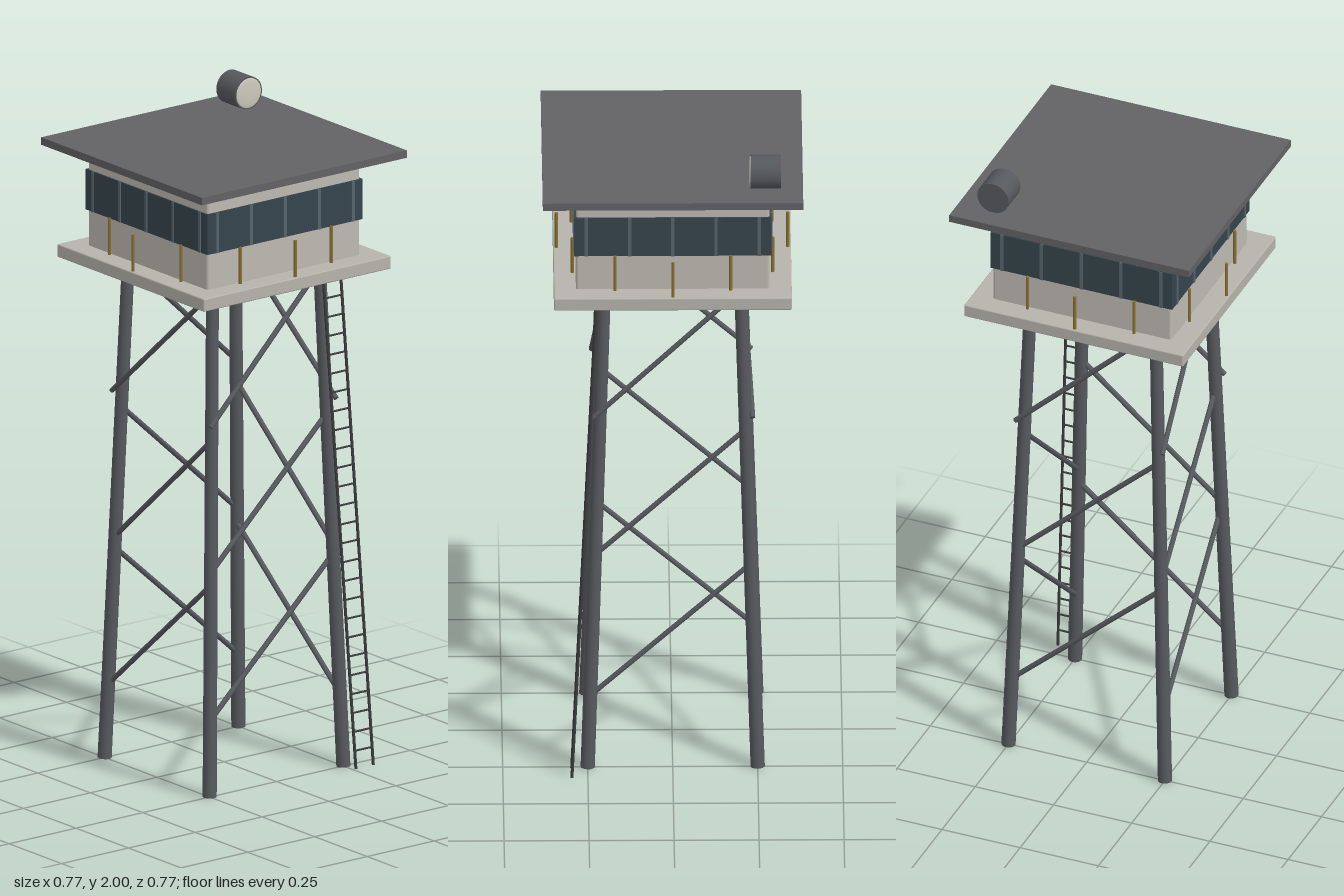
import * as THREE from 'three';
import { RoundedBoxGeometry } from 'three/addons/geometries/RoundedBoxGeometry.js';

const mat = (name, color) => {
  const m = new THREE.MeshStandardMaterial({ color });
  m.name = name;
  return m;
};

export function createModel() {
  const model = new THREE.Group();
  model.name = 'watchtower';
  const concrete = mat('pale concrete', 0xb6b3ab);
  const wall = mat('cabin wall', 0xbdb9b2);
  const glass = mat('dark glass', 0x35444c);
  const mullionGrey = mat('mullion grey', 0x56646b);
  const roofGrey = mat('roof grey', 0x626266);
  const steel = mat('steel', 0x56595e);
  const ladderSteel = mat('dark steel', 0x3c3c3e);
  const brass = mat('railing ochre', 0x8a7030);
  const lampGrey = mat('lamp housing', 0x55585c);
  const lensWhite = mat('lamp lens', 0xcbc8bc);

  const add = (name, geometry, material, parent = model) => {
    const mesh = new THREE.Mesh(geometry, material);
    mesh.name = name;
    parent.add(mesh);
    return mesh;
  };
  const group = (name) => {
    const g = new THREE.Group();
    g.name = name;
    model.add(g);
    return g;
  };
  // Round bar between two points
  const bar = (name, a, b, r0, r1, material, parent, sides = 12) => {
    const dir = b.clone().sub(a);
    const mesh = add(name, new THREE.CylinderGeometry(r1, r0, dir.length(), sides), material, parent);
    mesh.position.copy(a).add(b).multiplyScalar(0.5);
    mesh.quaternion.setFromUnitVectors(new THREE.Vector3(0, 1, 0), dir.normalize());
    return mesh;
  };
  const V = (x, y, z) => new THREE.Vector3(x, y, z);

  // Four leaning legs, with one diagonal brace per face on each tier
  const corners = [[-1, 1], [1, 1], [1, -1], [-1, -1]];
  const legs = group('legs');
  const braces = group('braces');
  const tiers = [
    { low: 0.23, lowX: 0.24, high: 0.64, highX: 0.222 },
    { low: 0.68, lowX: 0.23, high: 1.08, highX: 0.213 },
    { low: 1.13, lowX: 0.235, high: 1.53, highX: 0.2 },
  ];
  corners.forEach(([sx, sz], i) => {
    const [nx, nz] = corners[(i + 1) % 4];
    bar('leg', V(sx * 0.25, 0, sz * 0.25), V(sx * 0.2, 1.54, sz * 0.2), 0.021, 0.019, steel, legs, 16);
    for (const t of tiers) {
      bar('brace', V(sx * t.lowX, t.low, sz * t.lowX), V(nx * t.highX, t.high, nz * t.highX),
        0.008, 0.008, steel, braces, 8);
    }
  });

  // Ladder beside the front left leg
  const ladder = group('ladder');
  const rail = (t, side) => V(0.2925 - 0.066 * t + side * 0.0325, 1.54 * t, 0.297 - 0.075 * t);
  for (const side of [-1, 1]) {
    bar('ladderRail', rail(0, side), rail(1, side), 0.0045, 0.0045, ladderSteel, ladder, 8);
  }
  for (let i = 0; i < 26; i++) {
    const t = (0.055 + i * 0.0578) / 1.54;
    bar('rung', rail(t, -1), rail(t, 1), 0.003, 0.003, ladderSteel, ladder, 6);
  }

  // Deck, cabin, window band and roof
  add('deck', new RoundedBoxGeometry(0.7, 0.04, 0.7, 2, 0.004), concrete).position.y = 1.555;
  add('cabin', new RoundedBoxGeometry(0.57, 0.31, 0.57, 2, 0.008), wall).position.y = 1.72;
  add('windowBand', new THREE.BoxGeometry(0.58, 0.124, 0.58), glass).position.y = 1.747;
  add('roof', new THREE.BoxGeometry(0.766, 0.023, 0.766), roofGrey).position.y = 1.89;

  // Mullions on all four sides
  const mullions = group('mullions');
  for (let side = 0; side < 4; side++) {
    const face = new THREE.Group();
    face.name = 'windowSide';
    face.rotation.y = side * Math.PI / 2;
    mullions.add(face);
    for (let i = -2; i <= 2; i++) {
      add('mullion', new THREE.BoxGeometry(0.01, 0.124, 0.006), mullionGrey, face)
        .position.set(i * 0.127, 1.747, 0.29);
    }
  }

  // Ring of railing posts
  const posts = group('railingPosts');
  for (let i = 0; i < 12; i++) {
    const a = i * Math.PI / 6;
    add('railingPost', new THREE.CylinderGeometry(0.005, 0.005, 0.115, 8), brass, posts)
      .position.set(0.34 * Math.sin(a), 1.63, 0.34 * Math.cos(a));
  }

  // Searchlight on the roof, facing forward
  const lamp = group('searchlight');
  lamp.position.set(0.271, 1.95, -0.273);
  add('lampHousing', new THREE.CylinderGeometry(0.05, 0.05, 0.09, 32), lampGrey, lamp).rotation.x = Math.PI / 2;
  const lens = add('lampLens', new THREE.SphereGeometry(0.046, 32, 16), lensWhite, lamp);
  lens.scale.z = 0.09;
  lens.position.z = 0.0452;

  return model;
}
